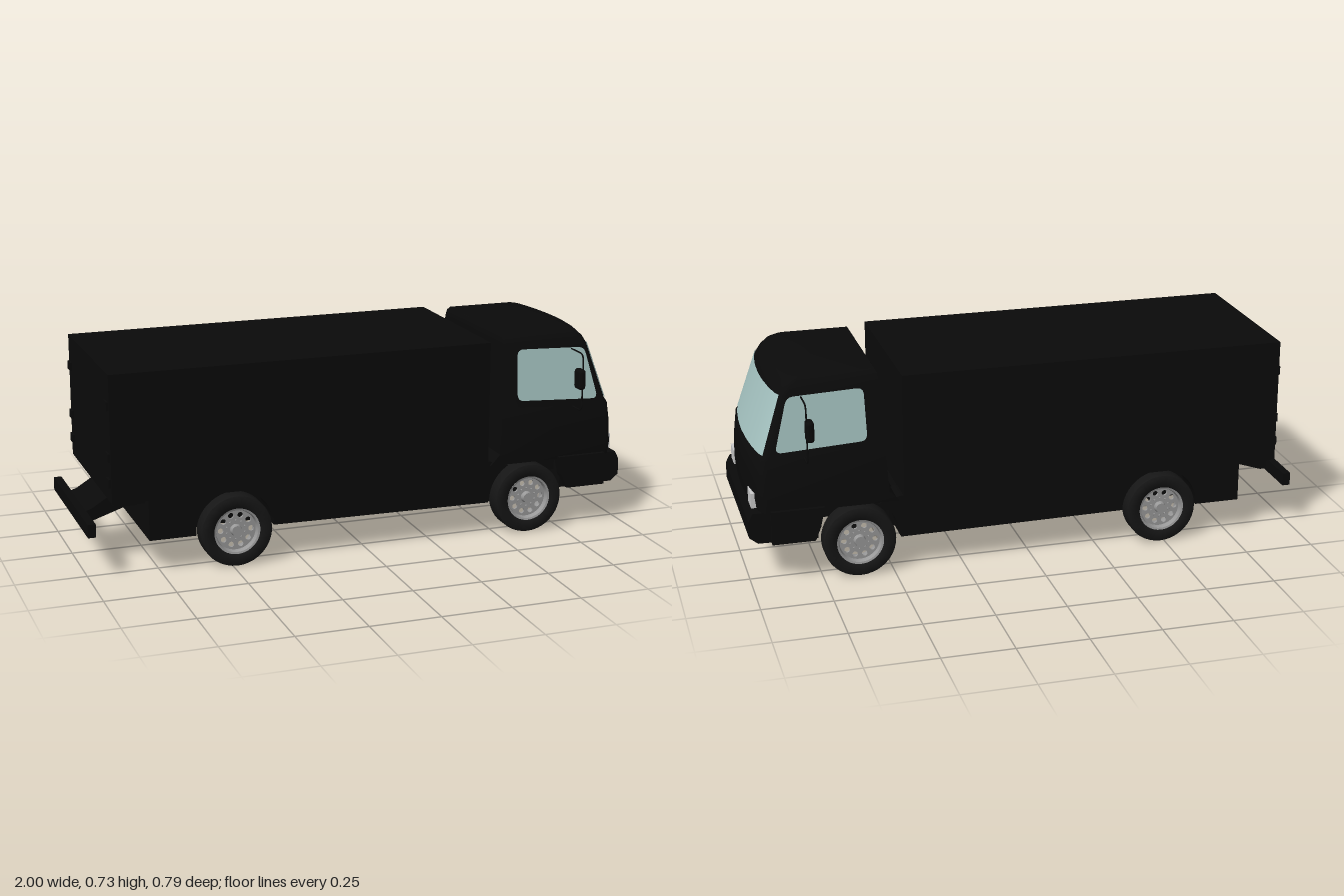
import * as THREE from 'three';
import { toCreasedNormals } from 'three/addons/utils/BufferGeometryUtils.js';
import { RoundedBoxGeometry } from 'three/addons/geometries/RoundedBoxGeometry.js';

const paint = (color, side = THREE.FrontSide) => new THREE.MeshStandardMaterial({ color, side });

// Cab levels: [y, back x, front x, half width]
const LEVELS = [
  [0.26, 0.475, 0.985, 0.308], [0.3, 0.51, 0.99, 0.31], [0.38, 0.515, 0.988, 0.306],
  [0.45, 0.52, 0.98, 0.3], [0.465, 0.52, 0.97, 0.296], [0.67, 0.53, 0.902, 0.27],
  [0.695, 0.53, 0.888, 0.264], [0.718, 0.533, 0.865, 0.256], [0.73, 0.54, 0.835, 0.243],
];
// Front curve in plan: [share of half width, set-back]
const BOW = [[1, 0.055], [0.98, 0.042], [0.94, 0.033], [0.85, 0.023], [0.6, 0.011], [0.3, 0.003], [0, 0]];
const FRONT = [...BOW, ...BOW.slice(0, -1).reverse().map(([s, d]) => [-s, d])];

// Surface through rows of points; closed rows are capped at both ends
function loft(rows, closed) {
  const n = rows[0].length, pos = rows.flat(2), index = [];
  const last = closed ? n : n - 1;
  for (let j = 0; j < rows.length - 1; j++) {
    for (let i = 0; i < last; i++) {
      const a = j * n + i, b = j * n + (i + 1) % n;
      index.push(a, b, b + n, a, b + n, a + n);
    }
  }
  if (closed) {
    for (const [j, flip] of [[0, true], [rows.length - 1, false]]) {
      const c = pos.length / 3;
      pos.push(0.7, rows[j][0][1], 0);
      for (let i = 0; i < n; i++) {
        const a = j * n + i, b = j * n + (i + 1) % n;
        index.push(c, flip ? b : a, flip ? a : b);
      }
    }
  }
  const g = new THREE.BufferGeometry();
  g.setAttribute('position', new THREE.Float32BufferAttribute(pos, 3));
  g.setIndex(index);
  return toCreasedNormals(g, 0.6);
}

// Outline in x and y, extruded from z0 to z1
function slab(shape, z0, z1) {
  const g = new THREE.ExtrudeGeometry(shape, { depth: z1 - z0, bevelEnabled: false, curveSegments: 24 });
  return g.translate(0, 0, z0);
}
const outline = (pts) => new THREE.Shape(pts.map(([x, y]) => new THREE.Vector2(x, y)));

// Polygon with rounded corners
function roundedOutline(pts, r) {
  const v = pts.map(([x, y]) => new THREE.Vector2(x, y));
  const s = new THREE.Shape();
  v.forEach((p, i) => {
    const toward = (q) => q.clone().sub(p).setLength(r).add(p);
    const a = toward(v[(i + v.length - 1) % v.length]), b = toward(v[(i + 1) % v.length]);
    if (i) s.lineTo(a.x, a.y); else s.moveTo(a.x, a.y);
    s.quadraticCurveTo(p.x, p.y, b.x, b.y);
  });
  s.closePath();
  return s;
}

export function createModel() {
  const model = new THREE.Group();
  model.name = 'truck';
  const black = paint(0x0a0a0a), rubber = paint(0x161616);
  const glass = paint(0xa5c3c1, THREE.DoubleSide);
  const steel = paint(0x999999, THREE.DoubleSide), lampGrey = paint(0xc0c0c0);

  function add(name, geometry, material = black, parent = model) {
    const m = new THREE.Mesh(geometry, material);
    m.name = name;
    parent.add(m);
    return m;
  }
  const block = (name, x0, x1, y0, y1, z0, z1, material) =>
    add(name, new THREE.BoxGeometry(x1 - x0, y1 - y0, z1 - z0), material)
      .position.set((x0 + x1) / 2, (y0 + y1) / 2, (z0 + z1) / 2);

  // Cargo body with door hinges, and the frame under it
  block('cargoBox', -0.92, 0.46, 0.27, 0.72, -0.318, 0.318);
  for (const side of [-1, 1]) {
    for (const y of [0.34, 0.43, 0.61]) {
      block('doorHinge', -0.928, -0.915, y - 0.015, y + 0.015, side * 0.29 - 0.02, side * 0.29 + 0.02);
    }
  }
  block('subframe', -0.9, 0.39, 0.24, 0.275, -0.25, 0.25);
  block('chassis', -0.79, 0.49, 0.12, 0.25, -0.2, 0.2);
  block('frontFrame', 0.48, 0.93, 0.2, 0.265, -0.24, 0.24);

  // Side skirts cut out around the wheels
  const skirt = new THREE.Shape();
  skirt.moveTo(-0.79, 0.12);
  skirt.lineTo(-0.625, 0.12);
  skirt.absarc(-0.485, 0.128, 0.14, Math.PI, 0, true);
  skirt.lineTo(0.47, 0.12);
  skirt.absarc(0.62, 0.128, 0.145, Math.PI, 2.1, true);
  skirt.lineTo(0.47, 0.275);
  skirt.lineTo(-0.79, 0.275);
  add('leftSkirt', slab(skirt, 0.2, 0.3));
  add('rightSkirt', slab(skirt, -0.3, -0.2));

  // Rear bumper on its cranked bracket
  const bracket = outline([[-0.98, 0.155], [-0.95, 0.155], [-0.83, 0.195], [-0.78, 0.195],
    [-0.78, 0.25], [-0.87, 0.25], [-0.95, 0.2], [-0.98, 0.19]]);
  add('rearBumperBracket', slab(bracket, -0.125, 0.125));
  block('rearBumper', -1, -0.972, 0.15, 0.197, -0.288, 0.288);

  // Cab shell
  add('cab', loft(LEVELS.map(([y, xb, xf, w]) => [
    [xb, y, w], ...FRONT.map(([s, d]) => [xf - d, y, s * w]), [xb, y, -w],
  ]), true));

  // Windscreen, following the bowed front just outside the shell
  const pane = FRONT.filter(([s]) => Math.abs(s) < 0.96);
  add('windscreen', loft(LEVELS.slice(4, 6).map(([y, , xf, w]) =>
    pane.map(([s, d]) => [xf - d + 0.003, y, s * w * 1.01])), false), glass);

  // Side windows laid on the leaning cab sides
  const windowShape = roundedOutline([[0.58, 0.49], [0.9, 0.474], [0.85, 0.665], [0.585, 0.675]], 0.025);
  for (const side of [-1, 1]) {
    const g = new THREE.ShapeGeometry(windowShape, 6);
    const p = g.attributes.position;
    for (let i = 0; i < p.count; i++) {
      const t = (p.getY(i) - 0.465) / 0.205;
      p.setZ(i, side * (0.3 - 0.026 * t));
    }
    g.computeVertexNormals();
    add('sideWindow', g, glass);
  }

  // Front bumper, fenders ahead of the wheels, headlights
  add('frontBumper', slab(outline([[0.76, 0.145], [0.97, 0.148], [1, 0.172], [1, 0.23], [0.985, 0.26], [0.76, 0.26]]), -0.29, 0.29));
  block('frontUnderbar', 0.78, 0.92, 0.115, 0.15, -0.12, 0.12);
  for (const side of [-1, 1]) {
    const z = side * 0.3;
    add('frontFender', slab(outline([[0.775, 0.15], [0.925, 0.15], [0.925, 0.27], [0.74, 0.27], [0.755, 0.2]]), z - 0.022, z + 0.022));
    block('headlight', 0.93, 0.983, 0.264, 0.318, side * 0.213 - 0.036, side * 0.213 + 0.036, lampGrey);
  }

  // Mirrors on looped arms
  for (const side of [-1, 1]) {
    const path = new THREE.CurvePath();
    const P = (y, z) => new THREE.Vector3(0.8, y, side * z);
    path.add(new THREE.LineCurve3(P(0.662, 0.265), P(0.662, 0.345)));
    path.add(new THREE.QuadraticBezierCurve3(P(0.662, 0.345), P(0.662, 0.37), P(0.635, 0.37)));
    path.add(new THREE.LineCurve3(P(0.635, 0.37), P(0.475, 0.37)));
    path.add(new THREE.QuadraticBezierCurve3(P(0.475, 0.37), P(0.452, 0.37), P(0.452, 0.345)));
    path.add(new THREE.LineCurve3(P(0.452, 0.345), P(0.452, 0.29)));
    add('mirrorArm', new THREE.TubeGeometry(path, 48, 0.003, 6));
    add('mirror', new RoundedBoxGeometry(0.028, 0.075, 0.05, 4, 0.012)).position.set(0.79, 0.572, side * 0.368);
  }

  // Wheels: tyre, open rim barrel, pierced disc, hub and nuts, facing +z
  const V = (r, y) => new THREE.Vector2(r, y);
  const turned = (pts) => toCreasedNormals(new THREE.LatheGeometry(pts, 40).rotateX(Math.PI / 2), 0.7);
  const tyre = turned([V(0.08, -0.03), V(0.088, -0.037), V(0.118, -0.038), V(0.126, -0.034), V(0.128, -0.027),
    V(0.128, 0.027), V(0.126, 0.034), V(0.118, 0.038), V(0.088, 0.037), V(0.08, 0.03)]);
  const barrel = turned([V(0.083, -0.036), V(0.076, -0.034), V(0.072, -0.02), V(0.072, 0.02), V(0.076, 0.034), V(0.083, 0.036)]);
  const disc = new THREE.Shape().absarc(0, 0, 0.073, 0, Math.PI * 2);
  for (let i = 0; i < 10; i++) {
    const a = i * Math.PI / 5;
    disc.holes.push(new THREE.Path().absarc(0.055 * Math.cos(a), 0.055 * Math.sin(a), 0.01, 0, Math.PI * 2, true));
  }
  const discGeometry = slab(disc, 0.008, 0.016);
  const hubGeometry = new THREE.CylinderGeometry(0.018, 0.024, 0.03, 24).rotateX(Math.PI / 2);
  const nutGeometry = new THREE.CylinderGeometry(0.004, 0.004, 0.008, 6).rotateX(Math.PI / 2);
  for (const x of [-0.485, 0.62]) {
    for (const side of [-1, 1]) {
      const wheel = new THREE.Group();
      wheel.name = x > 0 ? 'frontWheel' : 'rearWheel';
      add('tyre', tyre, rubber, wheel);
      add('rimBarrel', barrel, steel, wheel);
      add('rimDisc', discGeometry, steel, wheel);
      add('hub', hubGeometry, steel, wheel).position.z = 0.018;
      for (let i = 0; i < 10; i++) {
        const a = (i + 0.5) * Math.PI / 5;
        add('wheelNut', nutGeometry, steel, wheel).position.set(0.034 * Math.cos(a), 0.034 * Math.sin(a), 0.019);
      }
      wheel.position.set(x, 0.128, side * 0.29);
      if (side < 0) wheel.rotation.y = Math.PI;
      model.add(wheel);
    }
    const axle = new THREE.CylinderGeometry(0.014, 0.014, 0.59, 16).rotateX(Math.PI / 2);
    add('axle', axle).position.set(x, 0.128, 0);
  }
  return model;
}
